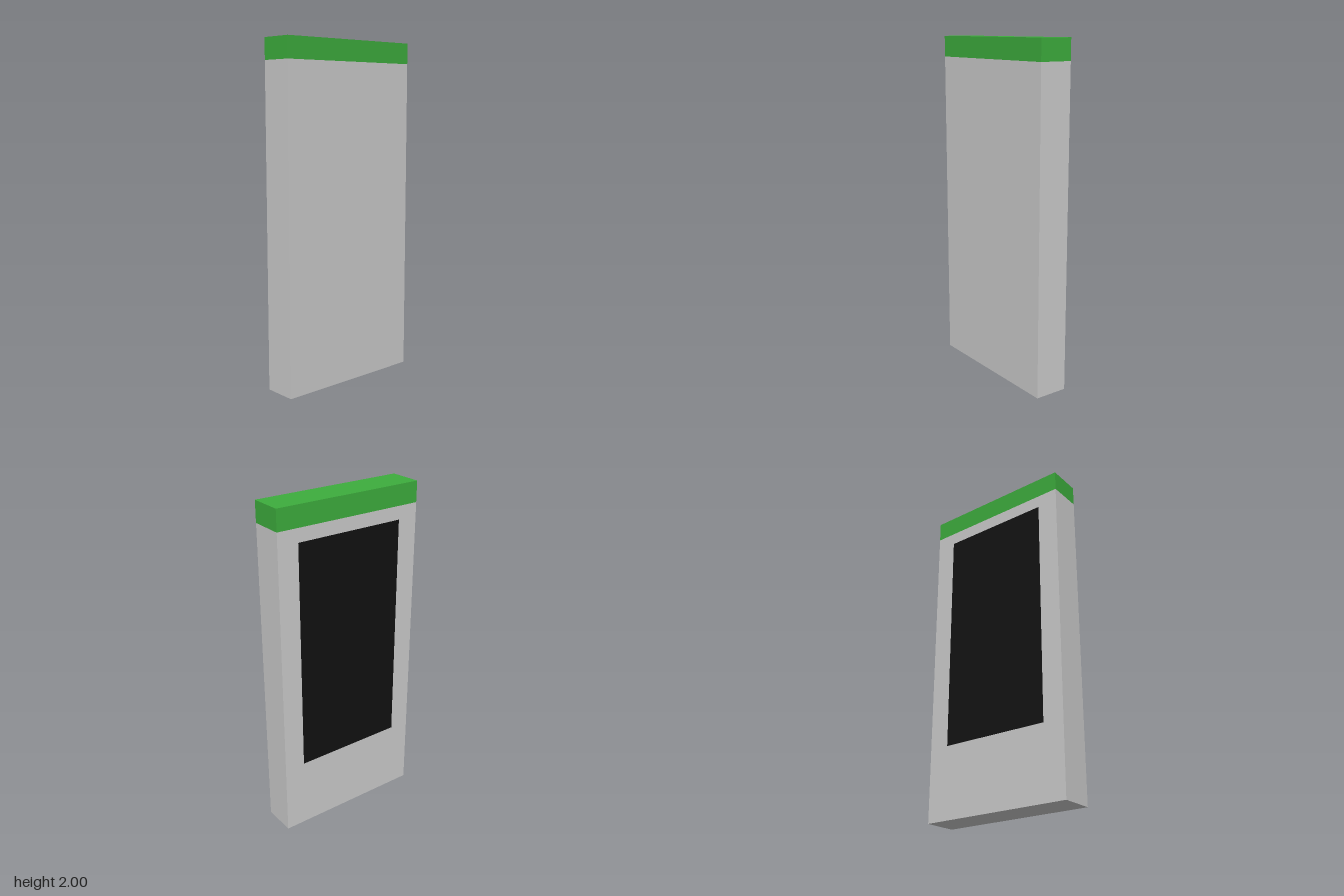
import * as THREE from 'three';

const WIDTH = 0.2, DEPTH = 0.925, HEIGHT = 2, CAP = 0.122;

function addPart(group, name, geometry, color, x, y) {
  const mesh = new THREE.Mesh(geometry, new THREE.MeshStandardMaterial({ color }));
  mesh.name = name;
  mesh.position.set(x, y, 0);
  group.add(mesh);
  return mesh;
}

export function createModel() {
  const group = new THREE.Group();
  group.name = 'displayPillar';

  // Upright slab
  const bodyHeight = HEIGHT - CAP;
  addPart(group, 'body', new THREE.BoxGeometry(WIDTH, bodyHeight, DEPTH), 0xcccccc, 0, bodyHeight / 2);

  // Green band across the top
  addPart(group, 'topCap', new THREE.BoxGeometry(WIDTH, CAP, DEPTH), 0x3dad3d, 0, HEIGHT - CAP / 2);

  // Dark screen lying just off the -x face
  const bottom = 0.43, top = 1.8;
  const screen = addPart(group, 'screen', new THREE.PlaneGeometry(0.674, top - bottom), 0x111111,
    -WIDTH / 2 - 0.002, (bottom + top) / 2);
  screen.rotation.y = -Math.PI / 2;

  return group;
}
